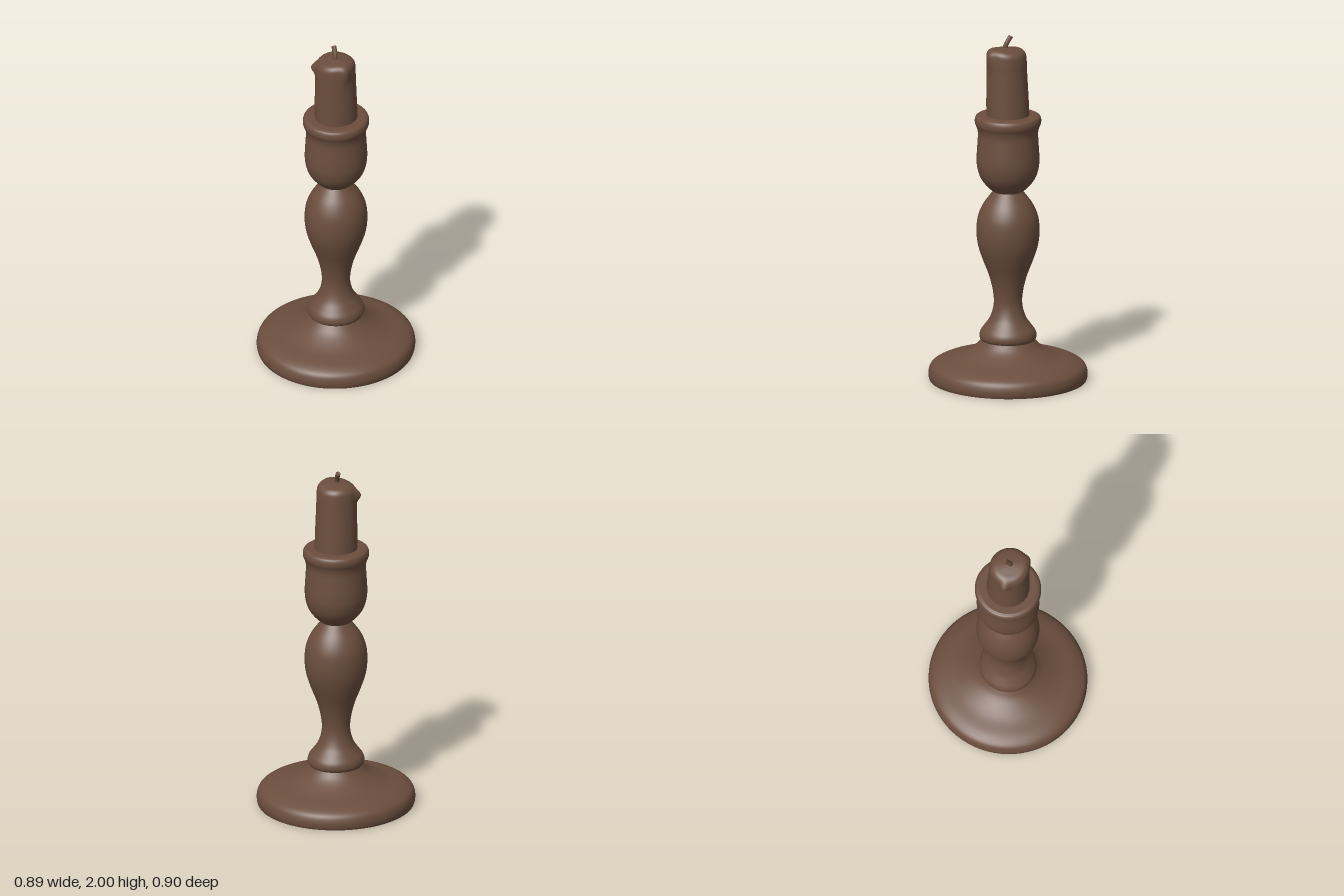
import * as THREE from 'three';
import { mergeVertices } from 'three/addons/utils/BufferGeometryUtils.js';

const wood = new THREE.MeshStandardMaterial({ color: 0x6b4e3e });
wood.name = 'warm brown';

// Smooth curve through [radius, height] pairs
function smoothProfile(pairs, steps) {
  const curve = new THREE.CatmullRomCurve3(pairs.map(([r, y]) => new THREE.Vector3(r, y, 0)), false, 'centripetal');
  return curve.getPoints(steps).map(p => new THREE.Vector2(Math.max(p.x, 0), p.y));
}

function turned(name, pairs, steps = 48) {
  const mesh = new THREE.Mesh(new THREE.LatheGeometry(smoothProfile(pairs, steps), 72), wood);
  mesh.name = name;
  mesh.scale.z = 1.012;
  return mesh;
}

function disc(name, radius, y, up) {
  const mesh = new THREE.Mesh(new THREE.CircleGeometry(radius, 72), wood);
  mesh.name = name;
  mesh.rotation.x = up ? -Math.PI / 2 : Math.PI / 2;
  mesh.scale.y = 1.012;
  mesh.position.y = y;
  return mesh;
}

// Leaning candle with a softened top and wax drips at the shoulder
function candle() {
  const pts = smoothProfile([
    [0.121, 1.5], [0.12, 1.6], [0.117, 1.7], [0.114, 1.8], [0.113, 1.86],
    [0.108, 1.895], [0.09, 1.915], [0.05, 1.924], [0, 1.93]], 60);
  let geo = new THREE.LatheGeometry(pts, 72);
  geo.deleteAttribute('uv');
  geo.deleteAttribute('normal');
  geo = mergeVertices(geo, 1e-5);

  // Each drip: direction x, z, height, size, angular width, vertical spread
  const drips = [[-0.12, 0.075, 1.865, 0.026, 0.2, 0.035], [0.12, 0.05, 1.87, 0.014, 0.25, 0.05]];
  const p = geo.attributes.position;
  for (let i = 0; i < p.count; i++) {
    let x = p.getX(i), y = p.getY(i), z = p.getZ(i);
    const r = Math.hypot(x, z), a = Math.atan2(z, x), lean = (y - 1.5) / 0.43;
    let bulge = 0;
    for (const [dx, dz, dy, size, width, spread] of drips) {
      const da = Math.atan2(Math.sin(a - Math.atan2(dz, dx)), Math.cos(a - Math.atan2(dz, dx)));
      bulge += size * Math.exp(-((da / width) ** 2) - ((y - dy) / spread) ** 2);
    }
    const k = 1 + bulge * Math.min(r / 0.1, 1) / 0.113;
    const top = THREE.MathUtils.smoothstep(y, 1.8, 1.9);
    y += top * (x * 0.07 + 0.005 * Math.sin(2 * a + 0.6) * r / 0.11);
    p.setXYZ(i, x * k + 0.003 * lean, y, z * k + 0.01 * lean);
  }
  geo.computeVertexNormals();
  const mesh = new THREE.Mesh(geo, wood);
  mesh.name = 'candle';
  return mesh;
}

// Short bent wick with a flat cut end
function wick() {
  const g = new THREE.Group();
  g.name = 'wick';
  const path = new THREE.CatmullRomCurve3([
    new THREE.Vector3(0.008, 1.9, 0.018), new THREE.Vector3(0.004, 1.94, 0.013),
    new THREE.Vector3(-0.006, 1.965, 0.004), new THREE.Vector3(-0.021, 1.992, -0.006)]);
  const stem = new THREE.Mesh(new THREE.TubeGeometry(path, 12, 0.014, 8), wood);
  stem.name = 'wickStem';
  const end = new THREE.Mesh(new THREE.CircleGeometry(0.014, 8), wood);
  end.name = 'wickEnd';
  end.position.copy(path.getPoint(1));
  end.quaternion.setFromUnitVectors(new THREE.Vector3(0, 0, 1), path.getTangent(1));
  g.add(stem, end);
  return g;
}

export function createModel() {
  const model = new THREE.Group();
  model.name = 'candlestick';
  model.add(
    disc('baseUnderside', 0.437, 0, false),
    turned('base', [
      [0.437, 0], [0.442, 0.015], [0.443, 0.045], [0.43, 0.08], [0.385, 0.108],
      [0.29, 0.135], [0.225, 0.165], [0.18, 0.195], [0.146, 0.232]]),
    turned('stem', [
      [0.13, 0.226], [0.15, 0.232], [0.159, 0.25], [0.154, 0.28], [0.13, 0.315], [0.103, 0.355],
      [0.084, 0.41], [0.079, 0.46], [0.087, 0.53], [0.108, 0.61], [0.142, 0.7], [0.167, 0.78],
      [0.176, 0.86], [0.168, 0.945], [0.14, 1.015], [0.105, 1.065], [0.078, 1.1]], 80),
    turned('cup', [
      [0.07, 1.088], [0.088, 1.098], [0.122, 1.13], [0.154, 1.175], [0.172, 1.235], [0.175, 1.29],
      [0.17, 1.38], [0.168, 1.435], [0.174, 1.465], [0.184, 1.49], [0.185, 1.512],
      [0.178, 1.53], [0.16, 1.538]], 72),
    disc('cupTop', 0.161, 1.538, true),
    candle(),
    wick());
  return model;
}
